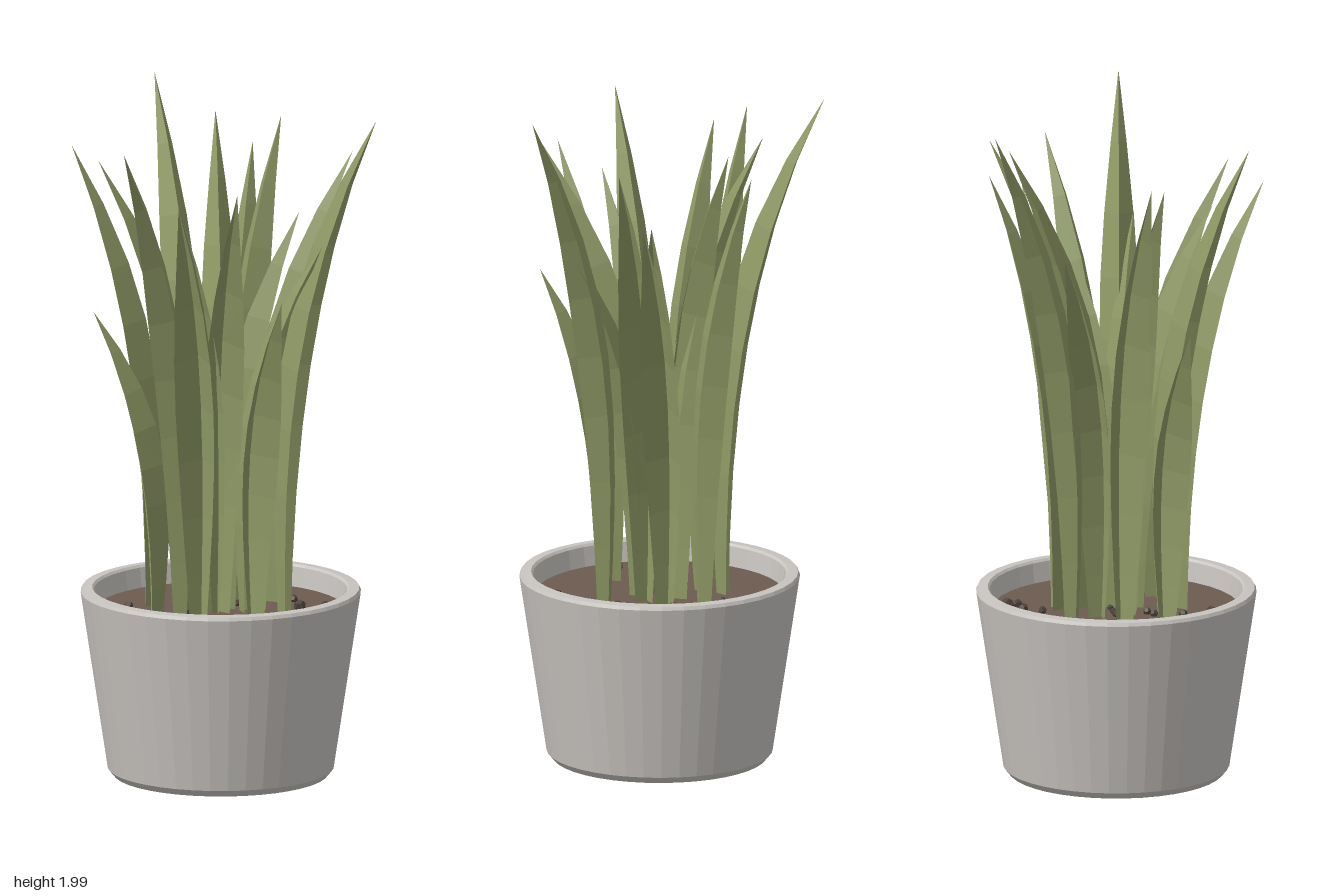
import * as THREE from 'three';

const material = (name, color, side = THREE.FrontSide) => {
  const m = new THREE.MeshStandardMaterial({ color, side, flatShading: true });
  m.name = name;
  return m;
};

const SOIL_Y = 0.49;
const POT_Z = 0.037;

// Blade width along its length: [t, width factor]
const WIDTHS = [[0, 0.42], [0.12, 0.6], [0.25, 0.79], [0.38, 0.94], [0.5, 1], [0.62, 0.95], [0.74, 0.75], [0.87, 0.41], [1, 0]];

// Thin folded blade with its ridge inward, rising steeply and arching out to its tip
function bladeGeometry([bx, bz, tx, ty, tz]) {
  const base = new THREE.Vector3(bx, SOIL_Y - 0.02, bz);
  const run = new THREE.Vector3(tx - bx, 0, tz - bz);
  const reach = run.length();
  const height = ty - base.y;
  const out = run.clone().normalize();
  const up = new THREE.Vector3(0, 1, 0);
  const side = new THREE.Vector3().crossVectors(up, out);
  const power = 2.6;
  const positions = [];
  const index = [];
  WIDTHS.forEach(([t, w], i) => {
    const centre = base.clone().addScaledVector(out, reach * t ** power).addScaledVector(up, height * t);
    const slope = (reach * power * t ** (power - 1)) / height;
    const normal = out.clone().addScaledVector(up, -slope).normalize();
    // right edge, ridge, left edge
    [[-0.057, 0.008], [0, -0.064], [0.057, 0.008]].forEach(([s, n]) => {
      const p = centre.clone().addScaledVector(side, s * w).addScaledVector(normal, n * w);
      positions.push(p.x, p.y, p.z);
    });
    if (i === 0) return;
    for (let k = 0; k < 2; k++) {
      const a = (i - 1) * 3 + k;
      index.push(a, a + 1, a + 4);
      // the last ring collapses into the tip
      if (i < WIDTHS.length - 1) index.push(a, a + 4, a + 3);
    }
  });
  const g = new THREE.BufferGeometry();
  g.setAttribute('position', new THREE.Float32BufferAttribute(positions, 3));
  g.setIndex(index);
  g.computeVertexNormals();
  return g;
}

export function createModel() {
  const potGrey = material('pot grey', 0xc8c4c0);
  const soilBrown = material('soil brown', 0x6d5b50);
  const pebbleBrown = material('pebble brown', 0x4e433c);
  const leafGreen = material('leaf green', 0x8f9a66, THREE.DoubleSide);

  const model = new THREE.Group();
  model.name = 'pottedPlant';
  const add = (name, geometry, mat, parent = model) => {
    const mesh = new THREE.Mesh(geometry, mat);
    mesh.name = name;
    parent.add(mesh);
    return mesh;
  };

  // Pot: recessed underside, tapered wall, flat rim, inner wall
  const profile = [
    [0, 0.065], [0.282, 0.065], [0.292, 0], [0.312, 0], [0.329, 0.02], [0.408, 0.543],
    [0.403, 0.553], [0.374, 0.555], [0.368, 0.548], [0.356, SOIL_Y - 0.03],
  ].map(([r, y]) => new THREE.Vector2(r, y));
  add('pot', new THREE.LatheGeometry(profile, 40), potGrey).position.z = POT_Z;

  // Soil
  const soil = add('soil', new THREE.CircleGeometry(0.36, 40).rotateX(-Math.PI / 2), soilBrown);
  soil.position.set(0, SOIL_Y, POT_Z);

  // Pebbles: [x, z, radius]
  const pebbles = new THREE.Group();
  pebbles.name = 'pebbles';
  model.add(pebbles);
  [
    [0.21, -0.2, 0.019], [0.18, -0.03, 0.014], [0.21, 0.13, 0.018], [0.28, 0.16, 0.016],
    [0.095, 0.325, 0.015], [-0.24, 0.195, 0.017], [-0.07, -0.025, 0.012], [-0.04, -0.01, 0.01],
    [-0.14, 0.06, 0.012], [-0.11, 0.06, 0.012], [-0.005, 0.01, 0.01], [0.2, -0.17, 0.014],
    [0.23, 0.03, 0.013], [0.15, -0.19, 0.015], [0.06, 0.02, 0.012], [-0.2, 0.12, 0.013],
    [-0.25, -0.06, 0.014], [0.1, -0.16, 0.013],
  ].forEach(([x, z, r], i) => {
    const p = add('pebble', new THREE.DodecahedronGeometry(r), pebbleBrown, pebbles);
    p.position.set(x, SOIL_Y + r * 0.6, z);
    p.rotation.set(i, i * 2, 0);
  });

  // Leaves: [base x, base z, tip x, tip y, tip z]
  const leaves = new THREE.Group();
  leaves.name = 'leaves';
  model.add(leaves);
  [
    [-0.02, -0.155, -0.016, 1.99, -0.445],
    [-0.055, -0.085, -0.139, 1.62, -0.285],
    [0.025, -0.02, 0.11, 1.9, -0.282],
    [0.11, -0.11, 0.219, 1.8, -0.263],
    [0.08, -0.03, 0.285, 1.885, -0.205],
    [-0.18, -0.09, -0.386, 1.86, -0.165],
    [-0.09, 0, -0.339, 1.83, -0.075],
    [-0.215, 0.045, -0.379, 1.395, -0.01],
    [-0.15, 0.1, -0.376, 1.91, 0.221],
    [-0.045, 0.075, -0.2, 1.71, 0.235],
    [-0.13, 0.19, -0.266, 1.77, 0.374],
    [-0.025, 0.1, -0.09, 1.8, 0.393],
    [0.04, 0.21, 0.054, 1.465, 0.381],
    [0.06, 0.1, 0.214, 1.6, 0.292],
    [0.15, 0.18, 0.358, 1.98, 0.36],
    [0.12, 0.065, 0.388, 1.836, 0.101],
    [0.185, -0.005, 0.405, 1.685, 0.028],
    [0.03, 0.037, 0.25, 1.65, 0.026],
  ].forEach((leaf) => add('leaf', bladeGeometry(leaf), leafGreen, leaves));

  return model;
}
